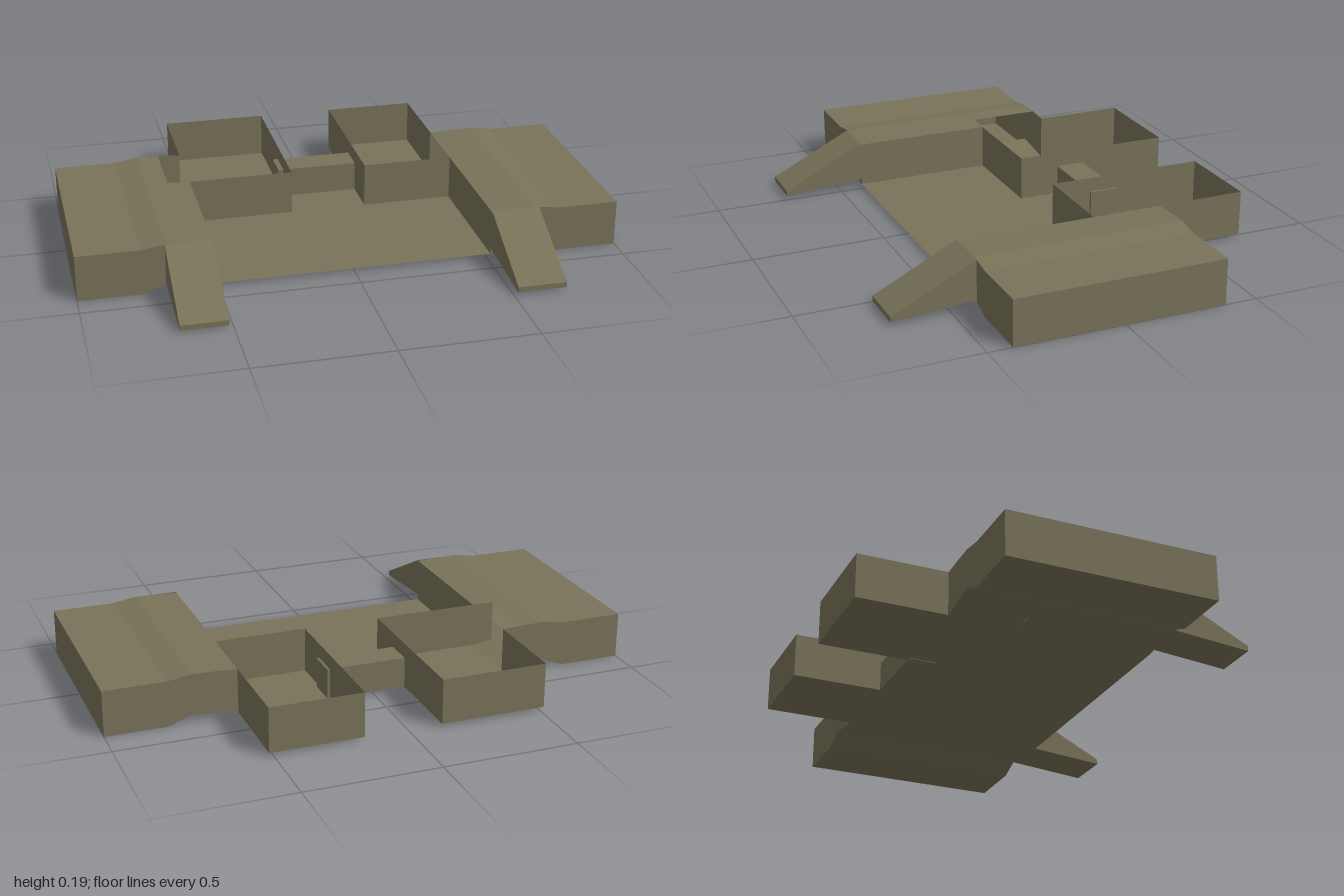
import * as THREE from 'three';

export function createModel() {
  const model = new THREE.Group();
  const olive = new THREE.MeshStandardMaterial({ color: 0x787258, side: THREE.DoubleSide });
  olive.name = 'olive';
  const TOP = 0.18, FLOOR = 0.012, BACK = -0.38, FRONT = 0.41, ROOM_BACK = -0.72, ROOM_FRONT = -0.115;

  function add(geometry, name, parent = model) {
    const mesh = new THREE.Mesh(geometry, olive);
    mesh.name = name;
    parent.add(mesh);
    return mesh;
  }

  // one flat four-cornered face
  function quad(name, parent, a, b, c, d) {
    const g = new THREE.BufferGeometry();
    g.setAttribute('position', new THREE.Float32BufferAttribute([a, b, c, a, c, d].flat(), 3));
    g.computeVertexNormals();
    return add(g, name, parent);
  }

  // upright wall between two ground points
  const wall = (name, parent, x0, z0, x1, z1, y1 = TOP, y0 = FLOOR) =>
    quad(name, parent, [x0, y0, z0], [x1, y0, z1], [x1, y1, z1], [x0, y1, z0]);

  const floor = (name, parent, x0, z0, x1, z1, y = FLOOR) =>
    quad(name, parent, [x0, y, z1], [x1, y, z1], [x1, y, z0], [x0, y, z0]);

  // sheet following an x-y outline, drawn out along z
  function sheet(name, parent, points, z0, z1) {
    for (let i = 0; i < points.length - 1; i++) {
      const [p, q] = [points[i], points[i + 1]];
      quad(name, parent, [...p, z1], [...q, z1], [...q, z0], [...p, z0]);
    }
  }

  // central floor
  floor('mainFloor', model, -0.515, BACK, 0.515, FRONT);

  for (const s of [-1, 1]) {
    const side = s > 0 ? 'left' : 'right';

    // raised side platform: roof, underside and end walls
    const platform = new THREE.Group();
    platform.name = side + 'Platform';
    model.add(platform);
    const flip = (pts) => pts.map(([x, y]) => [s * x, y]);
    const outerTop = [[0.6, 0.184], [0.68, 0.186], [0.77, 0.172], [1, 0.172]];
    const innerTop = [[0.515, TOP], [0.6, 0.184]];
    const bottom = [[1, 0], [0.77, 0], [0.68, 0.035], [0.515, FLOOR]];
    sheet('platformRoof', platform, flip(outerTop), BACK, FRONT);
    // the right roof is notched beside its room
    sheet('platformRoofEdge', platform, flip(innerTop), s > 0 ? BACK : ROOM_FRONT, FRONT);
    sheet('platformUnderside', platform, flip(bottom), BACK, FRONT);
    const outline = flip([[0.515, TOP], ...outerTop, ...bottom]).map((p) => new THREE.Vector2(...p));
    for (const z of [BACK, FRONT]) {
      const end = add(new THREE.ShapeGeometry(new THREE.Shape(outline)), 'platformEnd', platform);
      end.position.z = z;
      if (z < 0) {
        end.scale.z = -1;
      }
    }
    wall('platformOuterWall', platform, s, BACK, s, FRONT, 0.172, 0);
    wall('platformInnerWall', platform, s * 0.515, ROOM_FRONT, s * 0.515, FRONT);

    // open-topped back room with a passage under the platform
    const room = new THREE.Group();
    room.name = side + 'Room';
    model.add(room);
    const inner = s > 0 ? 0.17 : -0.12, outer = s * 0.515;
    floor('roomFloor', room, Math.min(inner, outer), ROOM_BACK, Math.max(inner, outer), BACK);
    wall('roomBackWall', room, inner, ROOM_BACK, outer, ROOM_BACK);
    wall('roomOuterWall', room, outer, ROOM_BACK, outer, BACK);
    wall('roomInnerWall', room, inner, ROOM_BACK, inner, ROOM_FRONT);
    wall('roomFrontWall', room, inner, ROOM_FRONT, s > 0 ? outer : -0.6, ROOM_FRONT);

    // wedge ramp in front of the platform
    const ramp = new THREE.Shape([[FRONT, 0.035], [FRONT, 0.185], [0.72, 0.03], [0.72, 0.01]]
      .map((p) => new THREE.Vector2(...p)));
    const width = s > 0 ? 0.18 : 0.17;
    const g = new THREE.ExtrudeGeometry(ramp, { depth: width, bevelEnabled: false });
    g.rotateY(-Math.PI / 2); // profile x becomes z, depth runs towards -x
    g.translate(s > 0 ? 0.515 + width : -0.515, 0, 0);
    add(g, side + 'Ramp');
  }

  // low passage joining the two rooms
  const link = new THREE.BoxGeometry(0.32, 0.115, 0.11);
  link.translate(0.02, 0.0675, -0.325);
  add(link, 'linkPassage');

  return model;
}
